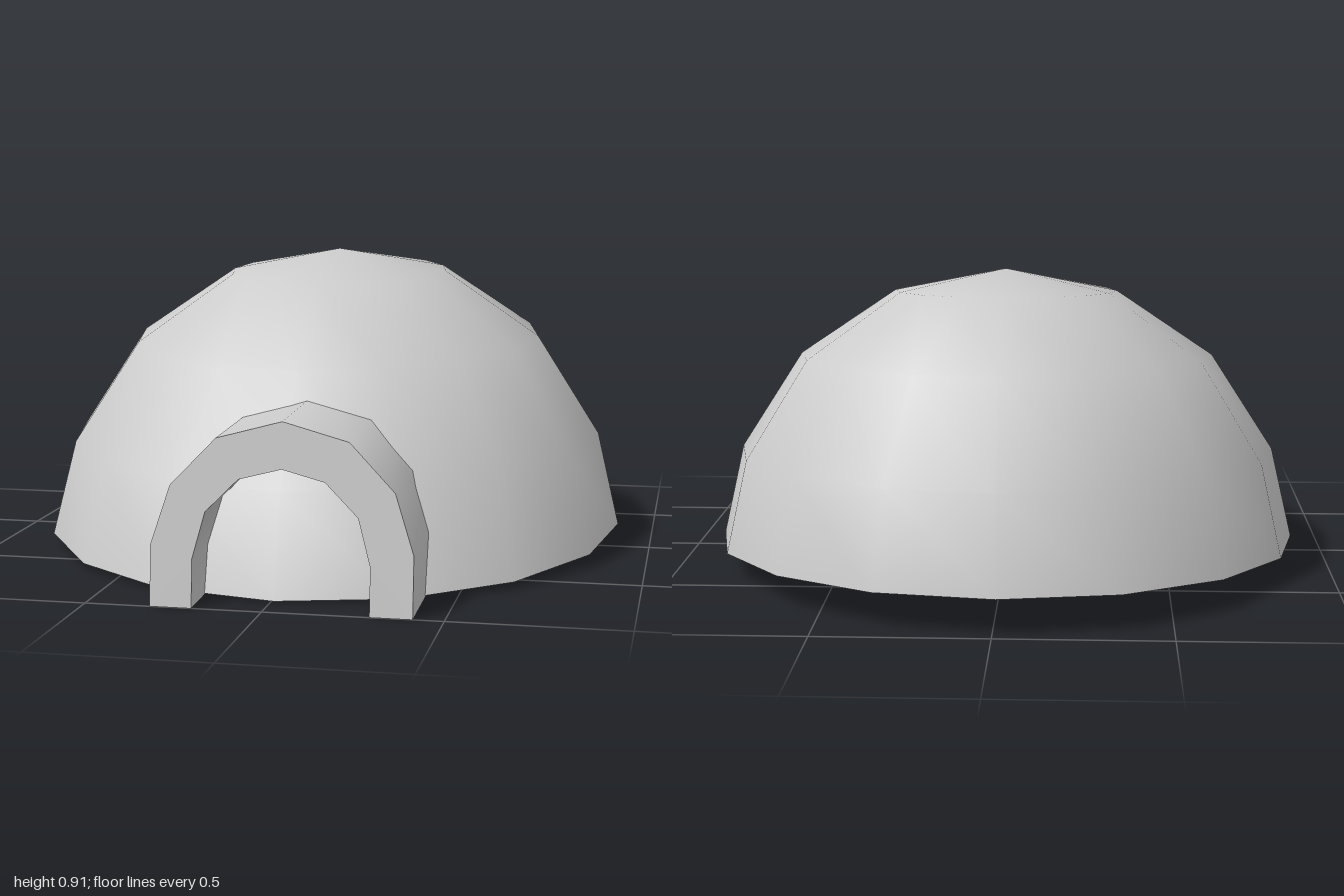
import * as THREE from 'three';
import { mergeVertices, toCreasedNormals } from 'three/addons/utils/BufferGeometryUtils.js';

const material = new THREE.MeshStandardMaterial({ color: 0xcccccc, side: THREE.DoubleSide });

// Move every vertex of a geometry by a rule
function deform(geometry, rule) {
  const p = geometry.attributes.position;
  const v = new THREE.Vector3();
  for (let i = 0; i < p.count; i++) {
    rule(v.fromBufferAttribute(p, i));
    p.setXYZ(i, v.x, v.y, v.z);
  }
  return geometry;
}

// Open shell of 16 sides, slightly long in z, leaning back on a sloping rim
function makeDome() {
  const profile = [[0.9, 0], [0.832, 0.285], [0.638, 0.585], [0.342, 0.785], [0, 0.8525]]
    .map(([r, y]) => new THREE.Vector2(r, y));
  let geometry = new THREE.LatheGeometry(profile, 16, 0.013);
  geometry.deleteAttribute('uv');
  geometry.deleteAttribute('normal');
  deform(geometry, (v) => {
    const z = v.z * 0.95 / 0.9;
    v.z = z - 0.05 - 0.059 * v.y;
    v.y += 0.0575 - 0.0552 * z;
  });
  geometry = mergeVertices(geometry, 1e-4);
  geometry.computeVertexNormals();
  const dome = new THREE.Mesh(geometry, material);
  dome.name = 'dome';
  return dome;
}

// Mirror half an arch outline, given from the left foot to the crown
function archPoints(half) {
  const mirrored = half.slice(0, -1).reverse().map(([x, y]) => [-x, y]);
  return [...half, ...mirrored].map(([x, y]) => new THREE.Vector2(x, y));
}

// Thick arch that runs through the dome wall, its mouth leaning back
function makeTunnel() {
  const outer = archPoints([[0.365, 0], [0.365, 0.17], [0.312, 0.335], [0.185, 0.467], [0, 0.517]]);
  const inner = archPoints([[0.247, 0], [0.247, 0.135], [0.212, 0.265], [0.12, 0.357], [0, 0.388]]);
  const depth = 0.69;
  const shape = new THREE.Shape([...outer, ...inner.reverse()]);
  let geometry = new THREE.ExtrudeGeometry(shape, { depth, bevelEnabled: false });
  geometry.deleteAttribute('uv');
  deform(geometry, (v) => {
    const back = depth - v.z;
    v.x += 0.05;
    v.z = 1 - back - 0.088 * v.y;
    v.y += 0.03 * back;
  });
  geometry = toCreasedNormals(geometry, 0.8);
  const tunnel = new THREE.Mesh(geometry, material);
  tunnel.name = 'entranceTunnel';
  return tunnel;
}

export function createModel() {
  const group = new THREE.Group();
  group.name = 'igloo';
  group.add(makeDome(), makeTunnel());
  return group;
}
